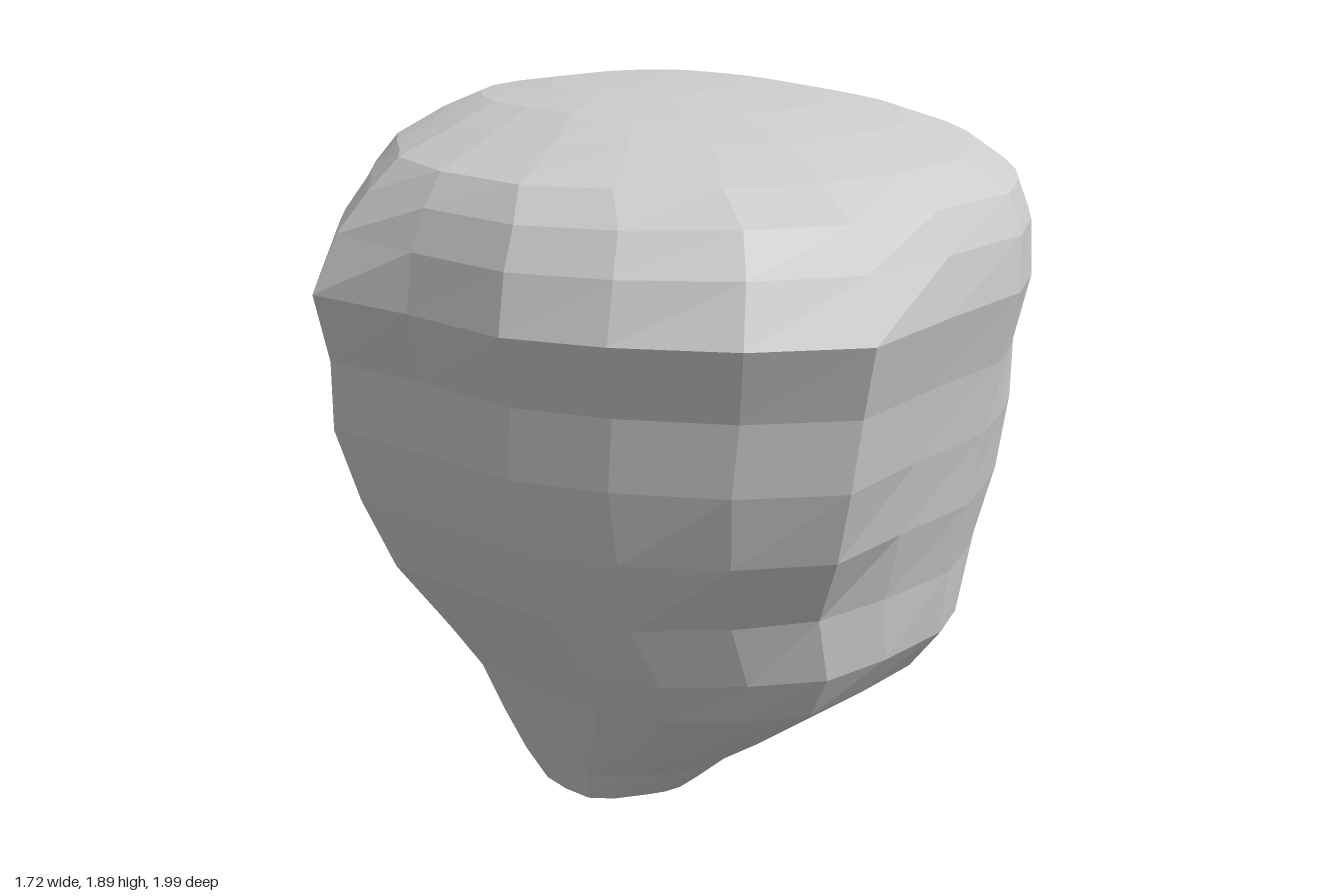
import * as THREE from 'three';

// Plan outline of the boulder at its widest, counter-clockwise from +x (x, z)
const OUTLINE = [
  [0.86, 0.03], [0.8, -0.17], [0.73, -0.32], [0.64, -0.47], [0.5, -0.63], [0.35, -0.74], [0.19, -0.84],
  [0, -0.93], [-0.2, -1], [-0.4, -0.98], [-0.58, -0.83], [-0.69, -0.66], [-0.77, -0.5], [-0.8, -0.3],
  [-0.85, 0], [-0.865, 0.25], [-0.8, 0.48], [-0.72, 0.64], [-0.62, 0.78], [-0.51, 0.91], [-0.2, 0.94],
  [0.1, 1], [0.34, 0.95], [0.6, 0.84], [0.81, 0.66], [0.83, 0.35],
];

// Horizontal sections: y, min x, max x, min z, max z
const SECTIONS = [
  [0.03, -0.16, 0.02, -0.2, 0.25],
  [0.13, -0.29, 0.13, -0.42, 0.49],
  [0.22, -0.37, 0.24, -0.53, 0.53],
  [0.34, -0.465, 0.42, -0.6, 0.6],
  [0.48, -0.55, 0.61, -0.64, 0.67],
  [0.6, -0.63, 0.7, -0.67, 0.74],
  [0.77, -0.74, 0.72, -0.72, 0.83],
  [0.95, -0.8, 0.76, -0.78, 0.89],
  [1.13, -0.855, 0.79, -0.86, 0.93],
  [1.3, -0.85, 0.815, -0.9, 0.94],
  [1.47, -0.855, 0.86, -0.99, 1],
  [1.6, -0.865, 0.85, -0.99, 0.965],
  [1.69, -0.84, 0.81, -0.96, 0.915],
  [1.76, -0.79, 0.7, -0.87, 0.84],
  [1.82, -0.7, 0.52, -0.66, 0.62],
  [1.86, -0.6, 0.32, -0.45, 0.46],
  [1.885, -0.42, 0.08, -0.26, 0.26],
];

// Bulges (+) and hollows (-): x, y, z, height, radius
const DENTS = [
  [0.6, 0.74, 0.58, -0.08, 0.22],
  [-0.62, 0.7, 0.5, -0.04, 0.16],
  [0.66, 0.95, -0.44, 0.1, 0.36],
  [0.5, 0.52, -0.45, -0.04, 0.18],
  [-0.35, 0.3, -0.42, 0.06, 0.28],
  [-0.3, 0.2, 0.35, 0.05, 0.22],
  [-0.55, 1.78, 0.6, -0.06, 0.25],
];

function sectionPoint([y, x0, x1, z0, z1], [ox, oz]) {
  // The foot turns rounder than the outline; the crown loses its corners
  const u = ox / 0.8625, v = oz, len = Math.hypot(u, v);
  const foot = 0.5 * THREE.MathUtils.clamp((1 - y) / 0.7, 0, 1);
  const crown = 0.9 * THREE.MathUtils.clamp((y - 1.47) / 0.25, 0, 1);
  const scale = 1 + foot * (1 / len - 1) + crown * (1 / Math.max(len, 1) - 1);
  const p = new THREE.Vector3(
    (x0 + x1) / 2 + u * scale * (x1 - x0) / 2,
    y,
    (z0 + z1) / 2 + v * scale * (z1 - z0) / 2,
  );
  for (const [dx, dy, dz, height, radius] of DENTS) {
    const d = p.distanceTo(new THREE.Vector3(dx, dy, dz)) / radius;
    const push = 1 + height * Math.exp(-d * d) / Math.hypot(p.x, p.z);
    p.x *= push;
    p.z *= push;
  }
  return p;
}

function boulderGeometry() {
  const n = OUTLINE.length, rows = SECTIONS.length;
  const points = SECTIONS.flatMap((s) => OUTLINE.map((o) => sectionPoint(s, o)));
  const bottom = points.push(new THREE.Vector3(-0.11, 0, 0.06)) - 1;
  const top = points.push(new THREE.Vector3(-0.18, 1.895, -0.04)) - 1;
  const index = [];
  for (let j = 0; j < n; j++) {
    const k = (j + 1) % n;
    index.push(bottom, k, j);
    for (let i = 0; i < rows - 1; i++) {
      const a = i * n + j, b = i * n + k;
      index.push(a, b, b + n, a, b + n, a + n);
    }
    index.push((rows - 1) * n + j, (rows - 1) * n + k, top);
  }
  const geometry = new THREE.BufferGeometry().setFromPoints(points);
  geometry.setIndex(index);
  geometry.computeVertexNormals();
  return geometry;
}

export function createModel() {
  const group = new THREE.Group();
  group.name = 'rock';
  const boulder = new THREE.Mesh(
    boulderGeometry(),
    new THREE.MeshStandardMaterial({ color: 0xcccccc, flatShading: true }),
  );
  boulder.name = 'boulder';
  group.add(boulder);
  return group;
}
